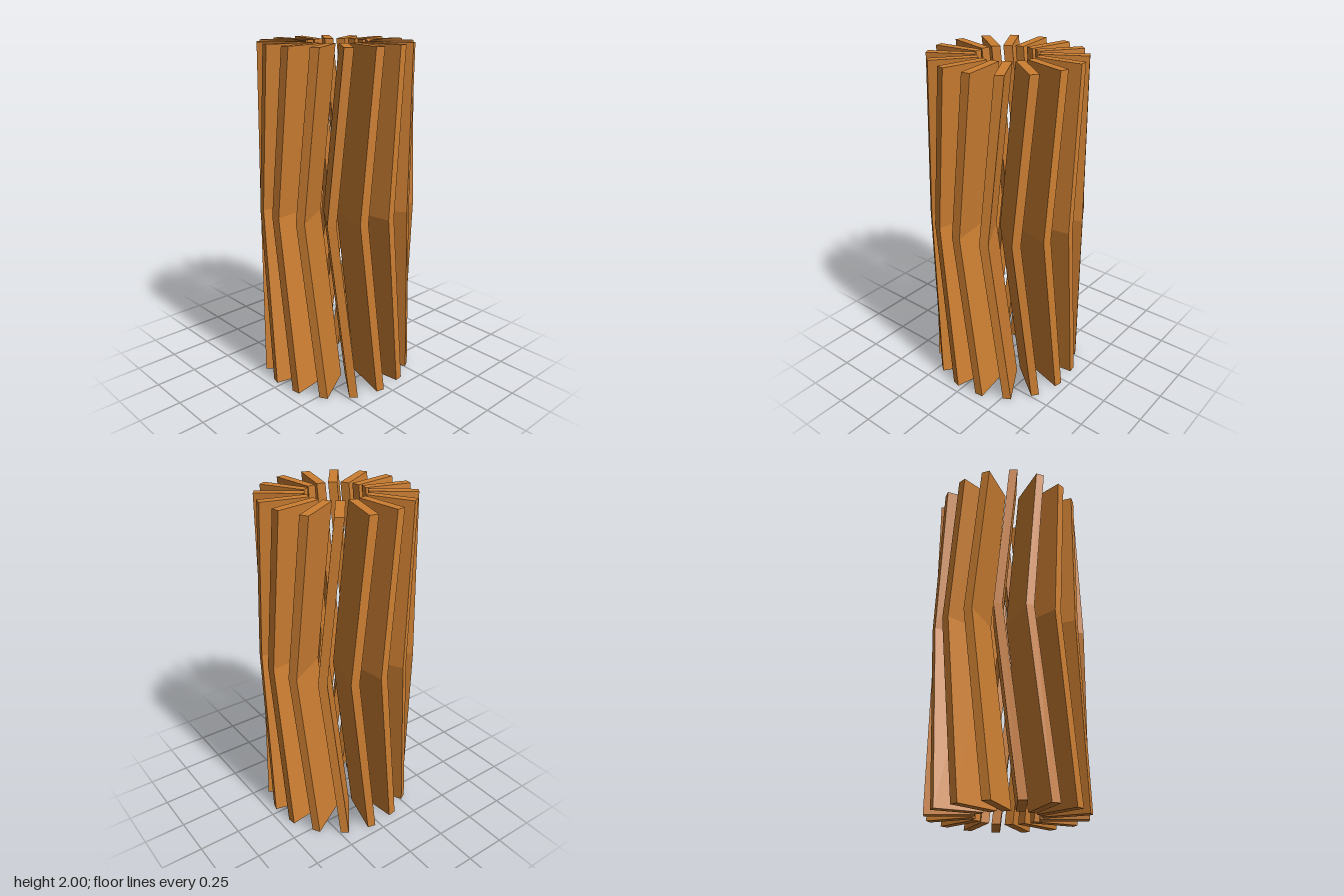
import * as THREE from 'three';

const FIN_COUNT = 16;
const HALF_THICKNESS = 0.025;

// Cross-sections of one fin: height, sideways sway, inner and outer reach
const SECTIONS = [
  { y: 0, sway: 0.063, inner: 0.175, outer: 0.4485 },
  { y: 1.07, sway: -0.063, inner: 0.175, outer: 0.4485 },
  { y: 2, sway: 0.025, inner: 0.168, outer: 0.4355 },
];

// Loft of rectangles, bent at the middle section
function finGeometry() {
  const positions = [];
  const index = [];
  for (const { y, sway, inner, outer } of SECTIONS) {
    const a = sway - HALF_THICKNESS;
    const b = sway + HALF_THICKNESS;
    positions.push(a, y, inner, a, y, outer, b, y, outer, b, y, inner);
  }
  for (let s = 0; s < SECTIONS.length - 1; s++) {
    for (let i = 0; i < 4; i++) {
      const p = s * 4 + i;
      const q = s * 4 + ((i + 1) % 4);
      index.push(p, q, q + 4, p, q + 4, p + 4);
    }
  }
  // End caps
  const top = (SECTIONS.length - 1) * 4;
  index.push(0, 2, 1, 0, 3, 2, top, top + 1, top + 2, top, top + 2, top + 3);

  const indexed = new THREE.BufferGeometry();
  indexed.setAttribute('position', new THREE.Float32BufferAttribute(positions, 3));
  indexed.setIndex(index);
  const geometry = indexed.toNonIndexed();
  geometry.computeVertexNormals();
  return geometry;
}

export function createModel() {
  const model = new THREE.Group();
  model.name = 'finnedColumn';
  const bronze = new THREE.MeshStandardMaterial({ color: 0xcd7f32, flatShading: true });
  const geometry = finGeometry();

  // Ring of bent fins around the open core
  for (let i = 0; i < FIN_COUNT; i++) {
    const fin = new THREE.Mesh(geometry, bronze);
    fin.name = `fin${i + 1}`;
    fin.rotation.y = THREE.MathUtils.degToRad(-14.9) + (i / FIN_COUNT) * Math.PI * 2;
    model.add(fin);
  }
  return model;
}
